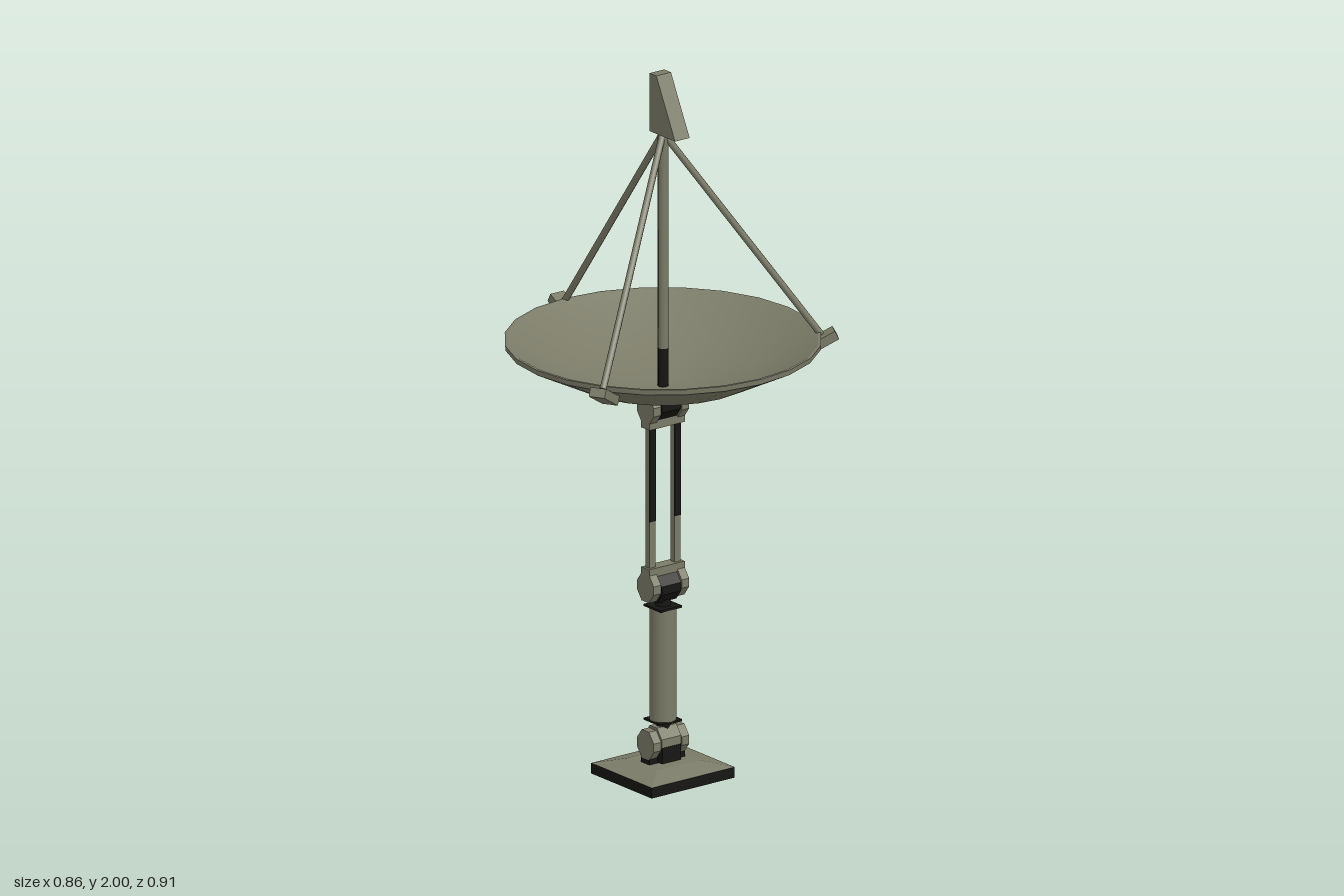
import * as THREE from 'three';
import { toCreasedNormals } from 'three/addons/utils/BufferGeometryUtils.js';

const CZ = 0.025; // z of the mast axis

export function createModel() {
  const olive = new THREE.MeshStandardMaterial({ color: 0x7b7b68 });
  olive.name = 'olive paint';
  const black = new THREE.MeshStandardMaterial({ color: 0x151613 });
  black.name = 'black';

  const model = new THREE.Group();
  model.name = 'dishAntenna';
  // everything hangs on the mast axis
  const axis = new THREE.Group();
  axis.name = 'antennaAssembly';
  axis.position.z = CZ;
  model.add(axis);

  const add = (name, geo, mat, x = 0, y = 0, z = 0, parent = axis) => {
    const m = new THREE.Mesh(geo, mat);
    m.name = name;
    m.position.set(x, y, z);
    parent.add(m);
    return m;
  };
  const box = (w, h, d) => new THREE.BoxGeometry(w, h, d);
  const rod = (name, a, b, r, mat) => {
    const dir = b.clone().sub(a);
    const m = add(name, new THREE.CylinderGeometry(r, r, dir.length(), 8), mat);
    m.position.copy(a).add(b).multiplyScalar(0.5);
    m.quaternion.setFromUnitVectors(new THREE.Vector3(0, 1, 0), dir.normalize());
    return m;
  };
  // prism along x from a (z, y) outline
  const prism = (pts, width) => {
    const shape = new THREE.Shape(pts.map(([z, y]) => new THREE.Vector2(-z, y)));
    const g = new THREE.ExtrudeGeometry(shape, { depth: width, bevelEnabled: false });
    return g.translate(0, 0, -width / 2).rotateY(Math.PI / 2);
  };

  // base: slab with a shallow sloping top, back side left olive
  add('baseSlab', box(0.284, 0.03, 0.265), [black, black, olive, black, black, olive], 0, 0.015, 0);
  const slope = new THREE.CylinderGeometry(Math.SQRT1_2, Math.SQRT2, 0.017, 4, 1).rotateY(Math.PI / 4).toNonIndexed();
  slope.scale(0.142, 1, 0.1325);
  slope.computeVertexNormals();
  add('baseSlope', slope, olive, 0, 0.0385, 0);

  // hinge joints: hexagonal hub between two cheeks, closed by a bridge
  const hex = [[0.016, -0.04], [0.037, -0.012], [0.037, 0.012], [0.016, 0.04],
    [-0.016, 0.04], [-0.037, 0.012], [-0.037, -0.012], [-0.016, -0.04]];
  const joint = (name, y, side, hubMat, bridgeMat) => {
    const g = new THREE.Group();
    g.name = name;
    g.position.y = y;
    axis.add(g);
    add('hub', prism(hex, 0.066), hubMat, 0, -side * 0.006, 0, g);
    for (const s of [-1, 1]) add('cheek', prism(hex, 0.025), olive, s * 0.048, 0, 0, g);
    add('bridge', box(0.121, 0.025, 0.036), bridgeMat, 0, side * 0.043, 0, g);
  };
  joint('baseJoint', 0.1, -1, olive, black);
  add('baseJointFront', box(0.064, 0.045, 0.076), black, 0, 0.072, 0);
  joint('middleJoint', 0.548, 1, black, olive);
  joint('dishJoint', 1.056, -1, black, olive);

  // lower column with end plates, necks and a black strip at the back
  add('column', new THREE.CylinderGeometry(0.037, 0.037, 0.32, 16), olive, 0, 0.322, 0);
  for (const y of [0.16, 0.484]) add('columnEndPlate', box(0.074, 0.006, 0.074), black, 0, y, 0);
  for (const y of [0.148, 0.498]) add('columnNeck', new THREE.CylinderGeometry(0.021, 0.021, 0.03, 8), black, 0, y, 0);
  add('columnStrip', new THREE.CylinderGeometry(0.0385, 0.0385, 0.24, 4, 1, true, Math.PI - 0.45, 0.9), black, 0, 0.285, 0);

  // twin bars with black upper fronts
  for (const s of [-1, 1]) {
    add('upperBar', box(0.02, 0.43, 0.018), olive, s * 0.043, 0.8, 0);
    add('upperBarFront', box(0.0202, 0.27, 0.004), black, s * 0.043, 0.87, 0.0085);
  }

  // dish: closed thin shell of 24 sides
  const profile = [[0, 1.098], [0.08, 1.1], [0.25, 1.14], [0.428, 1.23], [0.43, 1.245],
    [0.422, 1.245], [0.25, 1.153], [0.075, 1.113], [0, 1.111]];
  const dish = new THREE.LatheGeometry(profile.map(([r, y]) => new THREE.Vector2(r, y)), 24);
  add('dish', toCreasedNormals(dish, 0.35), olive);

  // feed mast
  add('mastFoot', new THREE.CylinderGeometry(0.0145, 0.0145, 0.11, 8), black, 0, 1.165, 0);
  add('mast', new THREE.CylinderGeometry(0.0145, 0.0145, 0.62, 8), olive, 0, 1.53, 0);

  // three struts and the clips that hold them to the rim
  const apex = new THREE.Vector3(0, 1.832, 0);
  for (let i = 0; i < 3; i++) {
    const a = Math.PI + i * Math.PI * 2 / 3;
    rod('strut', apex, new THREE.Vector3(Math.sin(a) * 0.43, 1.238, Math.cos(a) * 0.43), 0.0095, olive);
    const holder = new THREE.Group();
    holder.name = 'rimClip';
    holder.rotation.y = a;
    axis.add(holder);
    const clip = add('clipBlock', box(0.046, 0.026, 0.108), olive, 0, 1.215, 0.423, holder);
    clip.rotation.x = -0.49;
  }

  // wedge-shaped feed head with its slope to the front
  add('feedHead', prism([[0.085, 1.835], [0.003, 2], [-0.027, 2], [-0.027, 1.835]], 0.05), olive);

  return model;
}
